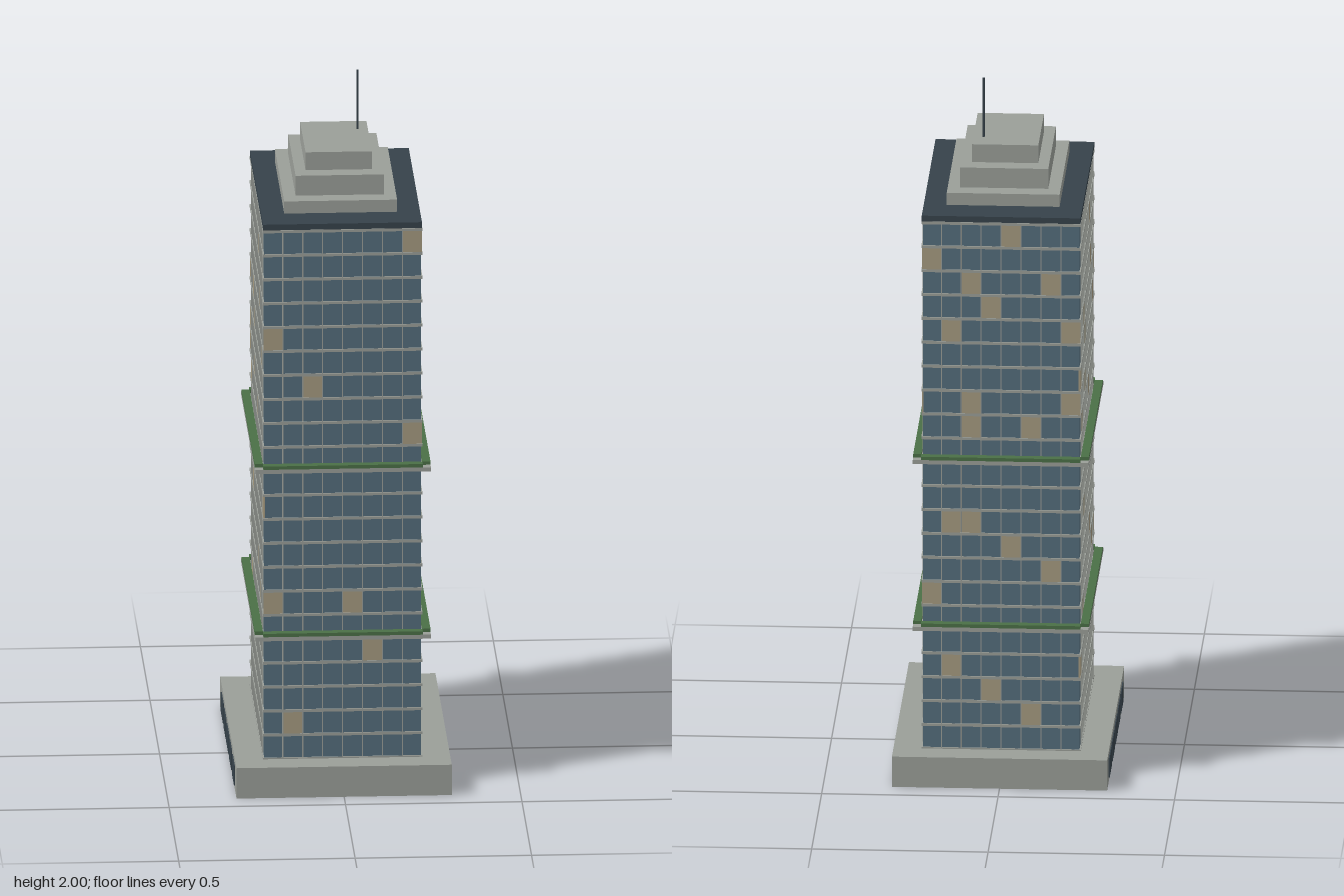
import * as THREE from 'three';

export function createModel() {
  const model = new THREE.Group();
  model.name = 'officeTower';
  const mat = (name, color) => Object.assign(new THREE.MeshStandardMaterial({ color }), { name });
  const concrete = mat('concrete', 0x9a9e98);
  const glass = mat('blue glass', 0x546d7c);
  const lit = mat('lit window', 0xa59a80);
  const dark = mat('dark slate', 0x36424a);
  const green = mat('planting green', 0x4a7046);

  // box given by its size, its underside height and its centre in plan
  const box = (name, material, w, h, d, y0, x = 0, z = 0, parent = model) => {
    const mesh = new THREE.Mesh(new THREE.BoxGeometry(w, h, d), material);
    mesh.name = name;
    mesh.position.set(x, y0 + h / 2, z);
    parent.add(mesh);
    return mesh;
  };
  const group = (name) => {
    const g = new THREE.Group();
    g.name = name;
    model.add(g);
    return g;
  };

  const BASE = 0.09, TOP = 1.656, HX = 0.222, HZ = 0.344;
  const FLOORS = 22, COLS_X = 8, COLS_Z = 13;
  const floorH = (TOP - BASE) / FLOORS;
  const colX = 0.452 / COLS_X, colZ = 0.696 / COLS_Z;

  // podium with dark shop windows on both long sides
  box('podium', concrete, 0.61, BASE, 0.854, 0);
  const shops = group('podiumWindows');
  for (const side of [-1, 1]) {
    for (let i = -2; i <= 2; i++) {
      box('podiumWindow', dark, 0.006, 0.058, 0.114, 0.013, side * 0.305, i * 0.1445, shops);
    }
  }

  // glass tower
  box('glassTower', glass, HX * 2, TOP - BASE, HZ * 2, BASE);

  // floor bands and mullions run right through the tower and show on opposite faces
  const grid = group('facadeGrid');
  for (let f = 0; f <= FLOORS; f++) {
    box('floorBand', concrete, 0.452, 0.008, 0.696, BASE + f * floorH - 0.004, 0, 0, grid);
  }
  for (let i = 1; i < COLS_X; i++) {
    box('mullion', concrete, 0.003, TOP - BASE, 0.694, BASE, (i - COLS_X / 2) * colX, 0, grid);
  }
  for (let i = 1; i < COLS_Z; i++) {
    box('mullion', concrete, 0.45, TOP - BASE, 0.003, BASE, 0, (i - COLS_Z / 2) * colZ, grid);
  }

  // lit windows: [column from the left seen from outside, floors]
  const litWindows = {
    front: [[0, 6, 17], [1, 1], [2, 15], [4, 6], [5, 4], [7, 13, 21]],
    back: [[0, 6, 20], [1, 3, 9, 17], [2, 9, 13, 14, 19], [3, 2, 18], [4, 8, 21],
      [5, 1, 13], [6, 7, 19], [7, 14, 17]],
    right: [[0, 21], [1, 16, 21], [2, 2, 4, 11, 14], [3, 16, 18], [4, 3, 16, 17], [5, 12],
      [7, 16], [8, 7, 10], [9, 1, 14, 18], [10, 5], [11, 4, 17], [12, 14]],
    left: [[0, 3, 15], [1, 13], [2, 5], [3, 9, 17], [4, 14, 16], [5, 4], [6, 11], [7, 13],
      [8, 7, 20], [9, 18], [10, 6], [11, 16], [12, 10]],
  };
  const panes = group('litWindows');
  for (const [face, list] of Object.entries(litWindows)) {
    const alongX = face === 'front' || face === 'back';
    const sign = face === 'front' || face === 'left' ? 1 : -1;
    for (const [col, ...floors] of list) {
      for (const f of floors) {
        const y0 = BASE + f * floorH;
        if (alongX) {
          box('litWindow', lit, colX - 0.003, floorH, 0.005, y0,
            sign * (col + 0.5 - COLS_X / 2) * colX, sign * HZ, panes);
        } else {
          box('litWindow', lit, 0.005, floorH, colZ - 0.003, y0,
            -sign * HX, sign * (col + 0.5 - COLS_Z / 2) * colZ, panes);
        }
      }
    }
  }

  // planted terrace ledges around the tower
  for (const y of [0.448, 0.945]) {
    const ledge = group('terraceLedge');
    box('ledgeSlab', concrete, 0.498, 0.012, 0.744, y, 0, 0, ledge);
    for (const s of [-1, 1]) {
      box('hedge', green, 0.452, 0.01, 0.024, y + 0.012, 0, s * 0.36, ledge);
      box('hedge', green, 0.023, 0.01, 0.696, y + 0.012, s * 0.2375, 0, ledge);
    }
  }

  // roof, stepped crown and antenna
  box('roof', dark, 0.45, 0.021, 0.692, 1.656);
  const tiers = [[0.32, 0.49, 1.677, 1.713], [0.25, 0.386, 1.713, 1.772], [0.188, 0.284, 1.772, 1.825]];
  for (const [w, d, y0, y1] of tiers) box('crownTier', concrete, w, y1 - y0, d, y0);
  box('antenna', dark, 0.006, 0.175, 0.006, 1.825, 0.065, -0.07);

  return model;
}
